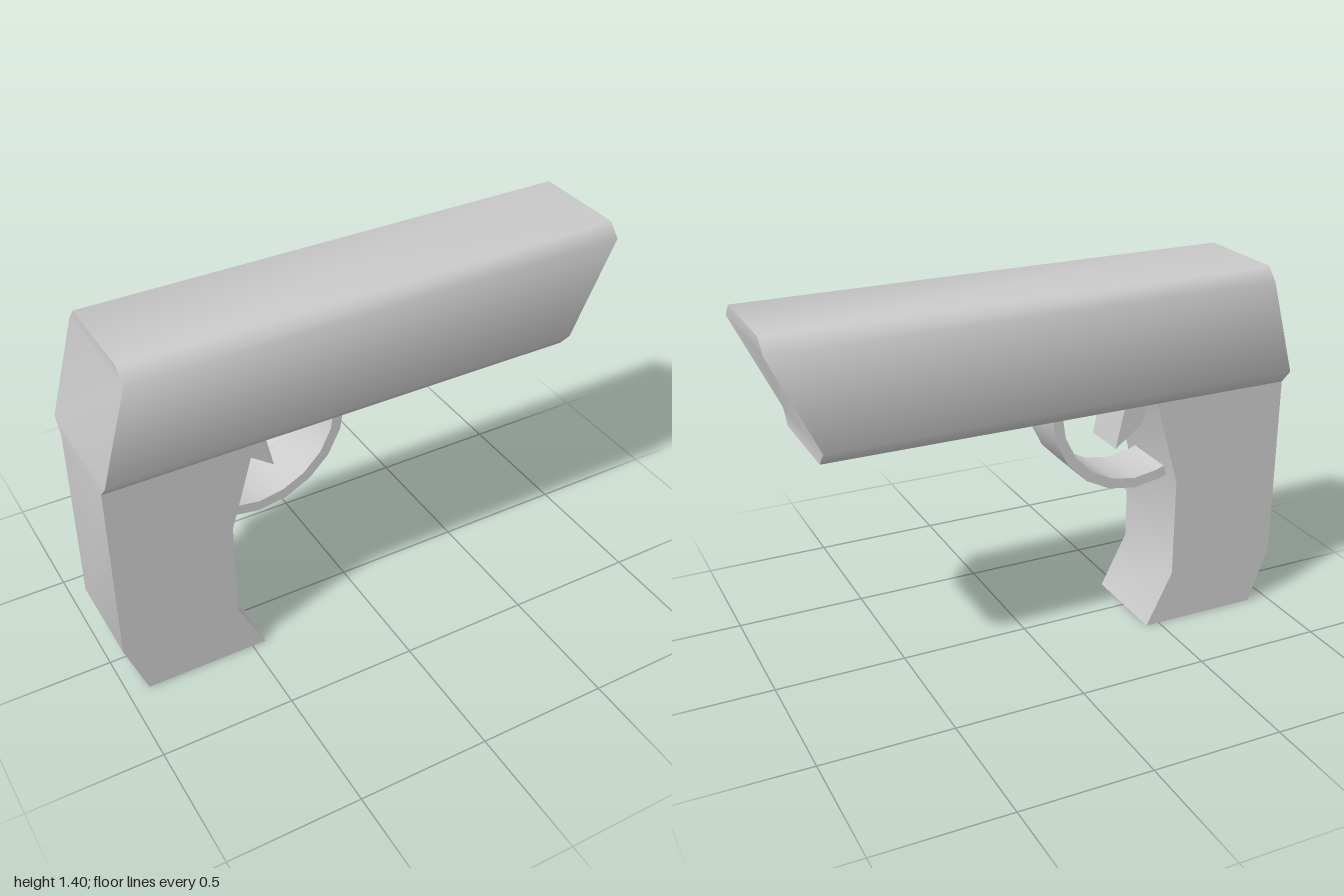
import * as THREE from 'three';
import { toCreasedNormals } from 'three/addons/utils/BufferGeometryUtils.js';

const CREASE = 0.9;
const material = new THREE.MeshStandardMaterial({ color: 0xcccccc });

function addPart(group, name, geometry) {
  const mesh = new THREE.Mesh(toCreasedNormals(geometry, CREASE), material);
  mesh.name = name;
  group.add(mesh);
}

// Side profile in x/y, extruded symmetrically about z = 0
function slab(points, width) {
  const shape = new THREE.Shape(points.map(([x, y]) => new THREE.Vector2(x, y)));
  return new THREE.ExtrudeGeometry(shape, { depth: width, bevelEnabled: false })
    .translate(0, 0, -width / 2);
}

// Stack of rectangles, each [y, rear x, front x, half width], closed at both ends
function stack(levels) {
  const positions = [];
  const index = [];
  for (const [y, rear, front, w] of levels) {
    positions.push(rear, y, w, front, y, w, front, y, -w, rear, y, -w);
  }
  for (let i = 0; i < levels.length - 1; i++) {
    for (let j = 0; j < 4; j++) {
      const a = i * 4 + j;
      const b = i * 4 + (j + 1) % 4;
      index.push(a, b, b + 4, a, b + 4, a + 4);
    }
  }
  const t = (levels.length - 1) * 4;
  index.push(t, t + 1, t + 2, t, t + 2, t + 3, 0, 2, 1, 0, 3, 2);
  const geometry = new THREE.BufferGeometry();
  geometry.setAttribute('position', new THREE.Float32BufferAttribute(positions, 3));
  geometry.setIndex(index);
  return geometry;
}

// Curved strip: outer arc forward, inner arc back
function guardProfile() {
  const angles = [0, 18, 36, 54, 72, 90, 108, 114];
  const arc = (r) => angles.map((d) => {
    const a = -THREE.MathUtils.degToRad(d);
    return [-0.41 + r * Math.cos(a), 0.925 + r * Math.sin(a)];
  });
  return [[-0.065, 0.94], ...arc(0.35), ...arc(0.31).reverse(), [-0.105, 0.94]];
}

export function createModel() {
  const group = new THREE.Group();
  group.name = 'pistol';

  // Chamfered upper body with slanted ends
  addPart(group, 'slide', stack([
    [0.935, -1, 0.83, 0.185],
    [0.99, -1, 0.83, 0.232],
    [1.35, -0.9, 1, 0.232],
    [1.4, -0.9, 1, 0.185],
  ]));

  // Handle with flared foot
  addPart(group, 'grip', slab([
    [-1, 0.22], [-0.92, 0], [-0.445, 0], [-0.55, 0.21],
    [-0.55, 0.6], [-0.45, 0.94], [-1, 0.94],
  ], 0.37));

  // Curved guard below the body
  addPart(group, 'triggerGuard', slab(guardProfile(), 0.22));

  // Pointed trigger
  addPart(group, 'trigger', slab([
    [-0.465, 0.89], [-0.445, 0.82], [-0.335, 0.74], [-0.38, 0.94], [-0.465, 0.94],
  ], 0.18));

  return group;
}
